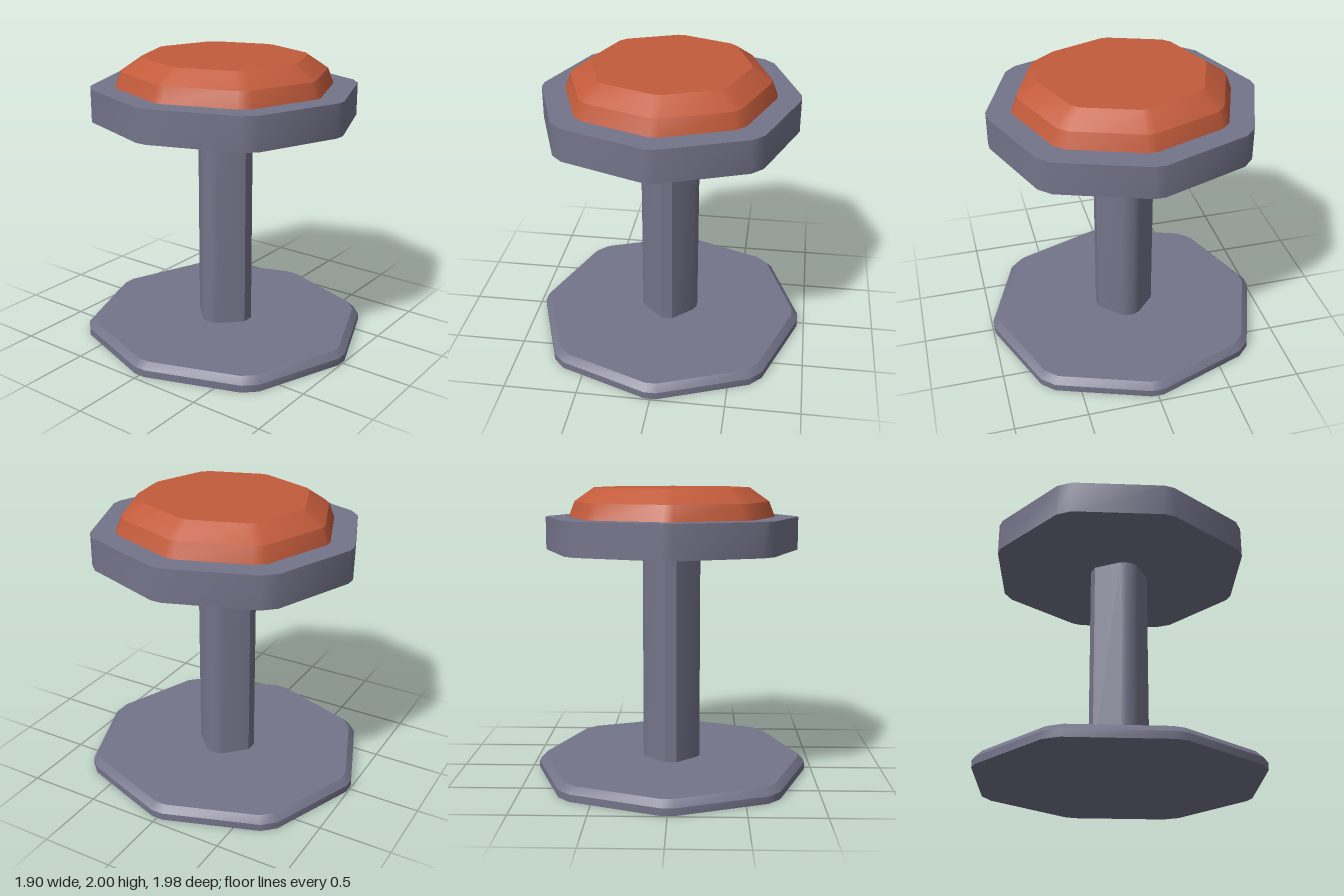
import * as THREE from 'three';
import { toCreasedNormals } from 'three/addons/utils/BufferGeometryUtils.js';

const metal = new THREE.MeshStandardMaterial({ color: 0x74748a });
const orange = new THREE.MeshStandardMaterial({ color: 0xc25b3b });

// Octagon with points on the axes and small cut corners, as [x, z] of unit radius
const octagon = [];
for (let k = 0; k < 8; k++) {
  const diagonal = k % 2 === 1;
  const radius = diagonal ? 1.022 : 1.001;
  const half = THREE.MathUtils.degToRad(diagonal ? 3.4 : 2.4);
  for (const s of [-1, 1]) {
    const a = (k * Math.PI) / 4 + s * half;
    octagon.push([radius * Math.sin(a), radius * Math.cos(a)]);
  }
}

// Diamond column section: narrow cut at front and back, rounder at the sides
const quarter = [[0.04, 0.205], [0.18, 0.07], [0.2, 0.03]];
const back = quarter.map(([x, z]) => [x, -z]).reverse();
const rightHalf = [...quarter, ...back];
const diamond = [...rightHalf, ...rightHalf.map(([x, z]) => [-x, -z])];

// Closed solid through scaled copies of an outline; levels are [y, scaleX, scaleZ]
function loft(name, outline, levels, material) {
  const pos = [];
  const n = outline.length;
  const rings = levels.map(([y, sx, sz]) => outline.map(([x, z]) => [x * sx, y, z * sz]));
  const tri = (a, b, c) => pos.push(...a, ...b, ...c);
  const last = rings.length - 1;
  for (let i = 0; i < n; i++) {
    const j = (i + 1) % n;
    for (let r = 0; r < last; r++) {
      tri(rings[r][i], rings[r][j], rings[r + 1][j]);
      tri(rings[r][i], rings[r + 1][j], rings[r + 1][i]);
    }
    tri([0, levels[0][0], 0], rings[0][j], rings[0][i]);
    tri([0, levels[last][0], 0], rings[last][i], rings[last][j]);
  }
  const geometry = new THREE.BufferGeometry();
  geometry.setAttribute('position', new THREE.Float32BufferAttribute(pos, 3));
  const mesh = new THREE.Mesh(toCreasedNormals(geometry, Math.PI / 6), material);
  mesh.name = name;
  return mesh;
}

export function createModel() {
  const group = new THREE.Group();
  group.name = 'stool';
  group.add(
    // Floor plate with a bevelled upper rim
    loft('base', octagon, [[0, 0.95, 0.99], [0.05, 0.95, 0.99], [0.095, 0.905, 0.945]], metal),
    loft('column', diamond, [[0.095, 1, 1], [1.575, 1, 1]], metal),
    loft('seatPlate', octagon, [[1.575, 0.87, 0.907], [1.8, 0.87, 0.907]], metal),
    // Cushion narrowing in two steps
    loft('cushion', octagon, [[1.8, 0.71, 0.74], [1.905, 0.67, 0.7], [2, 0.535, 0.56]], orange)
  );
  return group;
}
